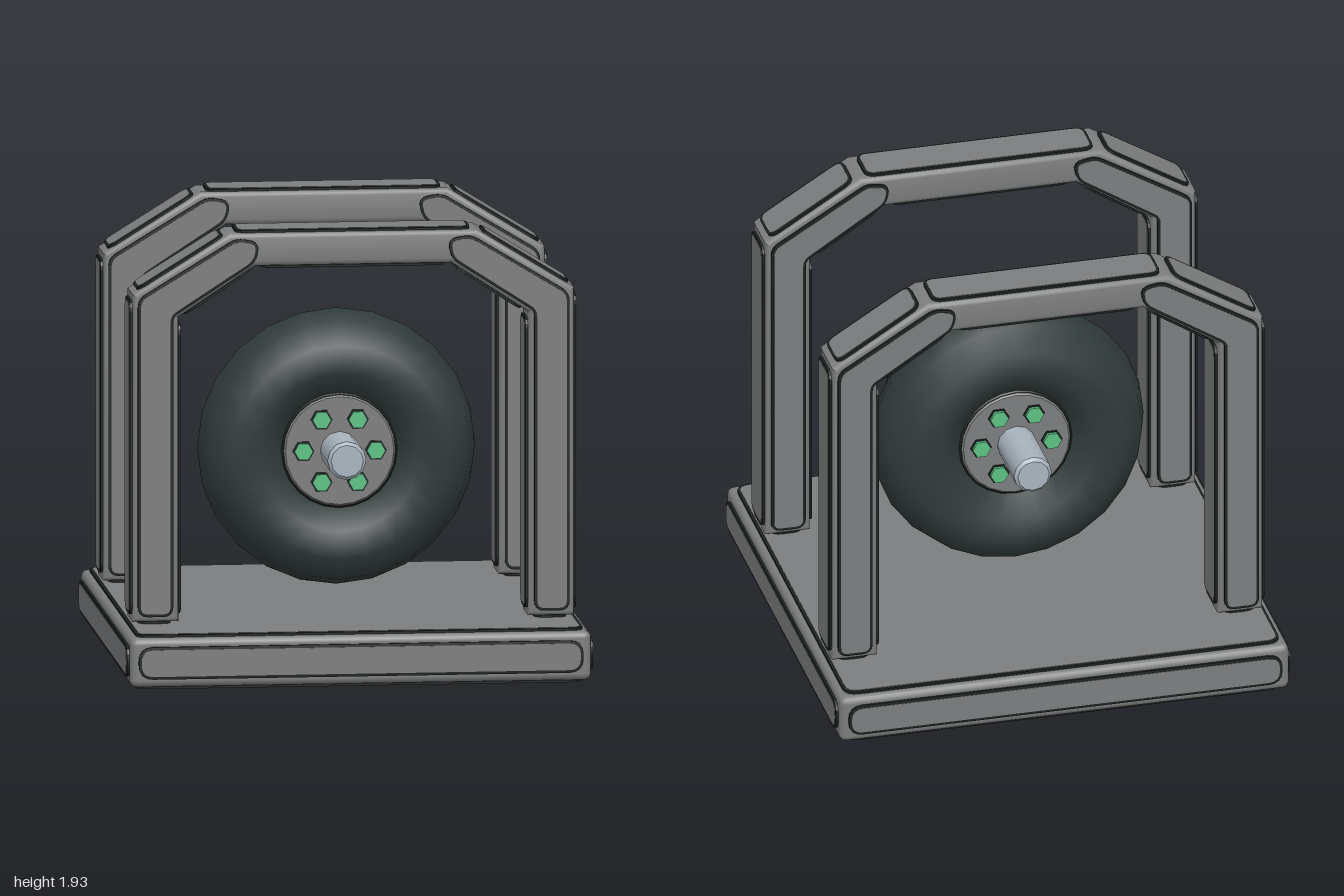
import * as THREE from 'three';
import { toCreasedNormals } from 'three/addons/utils/BufferGeometryUtils.js';
import { RoundedBoxGeometry } from 'three/addons/geometries/RoundedBoxGeometry.js';

const material = (name, color) => {
  const m = new THREE.MeshStandardMaterial({ color });
  m.name = name;
  return m;
};
const steel = material('frame grey', 0x7c7d7e);
const seam = material('seam black', 0x1e2323);
const rubber = material('tyre rubber', 0x303a3a);
const silver = material('axle silver', 0xa8b4be);
const green = material('bolt green', 0x5cc083);

const mesh = (name, geometry, mat) => {
  const m = new THREE.Mesh(geometry, mat);
  m.name = name;
  return m;
};

// Closed outline with every corner rounded by r
function roundedShape(points, r) {
  const pts = points.map(([x, y]) => new THREE.Vector2(x, y));
  const shape = new THREE.Shape();
  pts.forEach((p, i) => {
    const toward = (q) => q.clone().sub(p).setLength(r).add(p);
    const a = toward(pts[(i + pts.length - 1) % pts.length]);
    const b = toward(pts[(i + 1) % pts.length]);
    if (i === 0) shape.moveTo(a.x, a.y);
    else shape.lineTo(a.x, a.y);
    shape.quadraticCurveTo(p.x, p.y, b.x, b.y);
  });
  shape.closePath();
  return shape;
}

// Raised plate facing +z, with a dark rim around it
function panel(name, points, r) {
  const shape = roundedShape(points, r);
  const g = new THREE.Group();
  g.name = name;
  const rim = new THREE.ExtrudeGeometry(shape, {
    depth: 0.01, curveSegments: 4, bevelThickness: 0.001, bevelSize: 0.012, bevelSegments: 1 });
  const plate = new THREE.ExtrudeGeometry(shape, { depth: 0.013, curveSegments: 4, bevelEnabled: false });
  g.add(mesh(name + 'Rim', rim, seam), mesh(name + 'Plate', plate, steel));
  return g;
}
const rect = (w, h) => [[-w / 2, -h / 2], [w / 2, -h / 2], [w / 2, h / 2], [-w / 2, h / 2]];

// Base slab with a panel on each face
function createBase() {
  const g = new THREE.Group();
  g.name = 'base';
  const body = mesh('baseBody', new RoundedBoxGeometry(1.974, 0.212, 1.974, 2, 0.03), steel);
  body.position.y = 0.119;
  g.add(body);
  for (let i = 0; i < 4; i++) {
    const side = panel('baseSide', rect(1.88, 0.115), 0.05);
    const a = i * Math.PI / 2;
    side.position.set(Math.sin(a) * 0.987, 0.119, Math.cos(a) * 0.987);
    side.rotation.y = a;
    g.add(side);
  }
  for (const s of [1, -1]) {
    const face = panel(s > 0 ? 'baseTop' : 'baseBottom', rect(1.89, 1.89), 0.05);
    face.position.y = 0.119 + s * 0.106;
    face.rotation.x = -s * Math.PI / 2;
    g.add(face);
  }
  return g;
}

// Arch: bent beam, plates along every edge, and bent plates on both faces
function createArch(z) {
  const g = new THREE.Group();
  g.name = 'arch';
  g.position.z = z;
  const half = [[0.748, 0.25], [0.945, 0.25], [0.945, 1.66], [0.53, 1.917], [0.42, 1.775], [0.748, 1.56]];
  const flip = ([x, y]) => [-x, y];
  const outer = half.slice(0, 4), inner = half.slice(4);
  const outline = [...outer, ...outer.map(flip).reverse(), ...inner.map(flip).reverse(), ...inner];

  const shape = new THREE.Shape(outline.map(([x, y]) => new THREE.Vector2(x, y)));
  const depth = 0.23, bevel = 0.022;
  const body = new THREE.ExtrudeGeometry(shape, {
    depth: depth - 2 * bevel, bevelThickness: bevel, bevelSize: bevel, bevelOffset: -bevel, bevelSegments: 3 });
  body.translate(0, 0, bevel - depth / 2);
  g.add(mesh('archBeam', toCreasedNormals(body, 0.6), steel));

  outline.forEach(([x0, y0], i) => {
    // The outline lists the left leg, top, right leg, then the underside
    const [x1, y1] = outline[(i + 1) % outline.length];
    const t = new THREE.Vector3(x1 - x0, y1 - y0, 0);
    const length = t.length();
    t.normalize();
    const n = new THREE.Vector3(t.y, -t.x, 0);
    const p = panel('archEdge', rect(length - 0.08, 0.17), 0.035);
    p.quaternion.setFromRotationMatrix(new THREE.Matrix4().makeBasis(t, n.clone().cross(t), n));
    p.position.set((x0 + x1) / 2, (y0 + y1) / 2, 0);
    g.add(p);
  });

  const bent = [[0.785, 0.285], [0.912, 0.285], [0.912, 1.635], [0.5, 1.885], [0.415, 1.87], [0.43, 1.8], [0.785, 1.57]];
  for (const s of [0, 1]) {
    const face = new THREE.Group();
    face.name = s ? 'archBack' : 'archFront';
    face.rotation.y = s * Math.PI;
    face.add(panel('archFaceLeft', bent, 0.03), panel('archFaceRight', bent.map(flip), 0.03));
    face.children.forEach((c) => { c.position.z = depth / 2; });
    g.add(face);
  }
  return g;
}

// Disc or bar along z, with chamfered ends
function bar(name, radius, halfLength, chamfer, sides, mat) {
  const profile = [[0, -halfLength], [radius - chamfer, -halfLength], [radius, chamfer - halfLength],
    [radius, halfLength - chamfer], [radius - chamfer, halfLength], [0, halfLength]]
    .map(([x, y]) => new THREE.Vector2(x, y));
  const geometry = new THREE.LatheGeometry(profile, sides).rotateX(Math.PI / 2);
  return mesh(name, toCreasedNormals(geometry, 0.65), mat);
}

// Wheel: tyre, hub, six bolts on each side and the axle
function createWheel() {
  const g = new THREE.Group();
  g.name = 'wheel';
  g.position.y = 0.89;
  const tyre = mesh('tyre', new THREE.TorusGeometry(0.4, 0.195, 10, 24), rubber);
  tyre.scale.z = 1.075;
  g.add(tyre);
  g.add(bar('hubRim', 0.252, 0.135, 0.01, 24, seam));
  g.add(bar('hub', 0.24, 0.142, 0.008, 24, steel));
  g.add(bar('axle', 0.083, 0.442, 0.014, 12, silver));
  for (const s of [1, -1]) {
    for (let i = 0; i < 6; i++) {
      const a = i * Math.PI / 3;
      const bolt = new THREE.Group();
      bolt.name = 'bolt';
      bolt.position.set(Math.cos(a) * 0.155, Math.sin(a) * 0.155, s * 0.142);
      const hex = (r, d) => new THREE.CylinderGeometry(r, r, d, 6).toNonIndexed()
        .rotateX(Math.PI / 2).rotateZ(Math.PI / 6);
      bolt.add(mesh('boltSeat', hex(0.047, 0.012), seam), mesh('boltHead', hex(0.04, 0.04), green));
      g.add(bolt);
    }
  }
  return g;
}

export function createModel() {
  const model = new THREE.Group();
  model.name = 'wheelStand';
  model.add(createBase(), createArch(0.577), createArch(-0.577), createWheel());
  return model;
}
